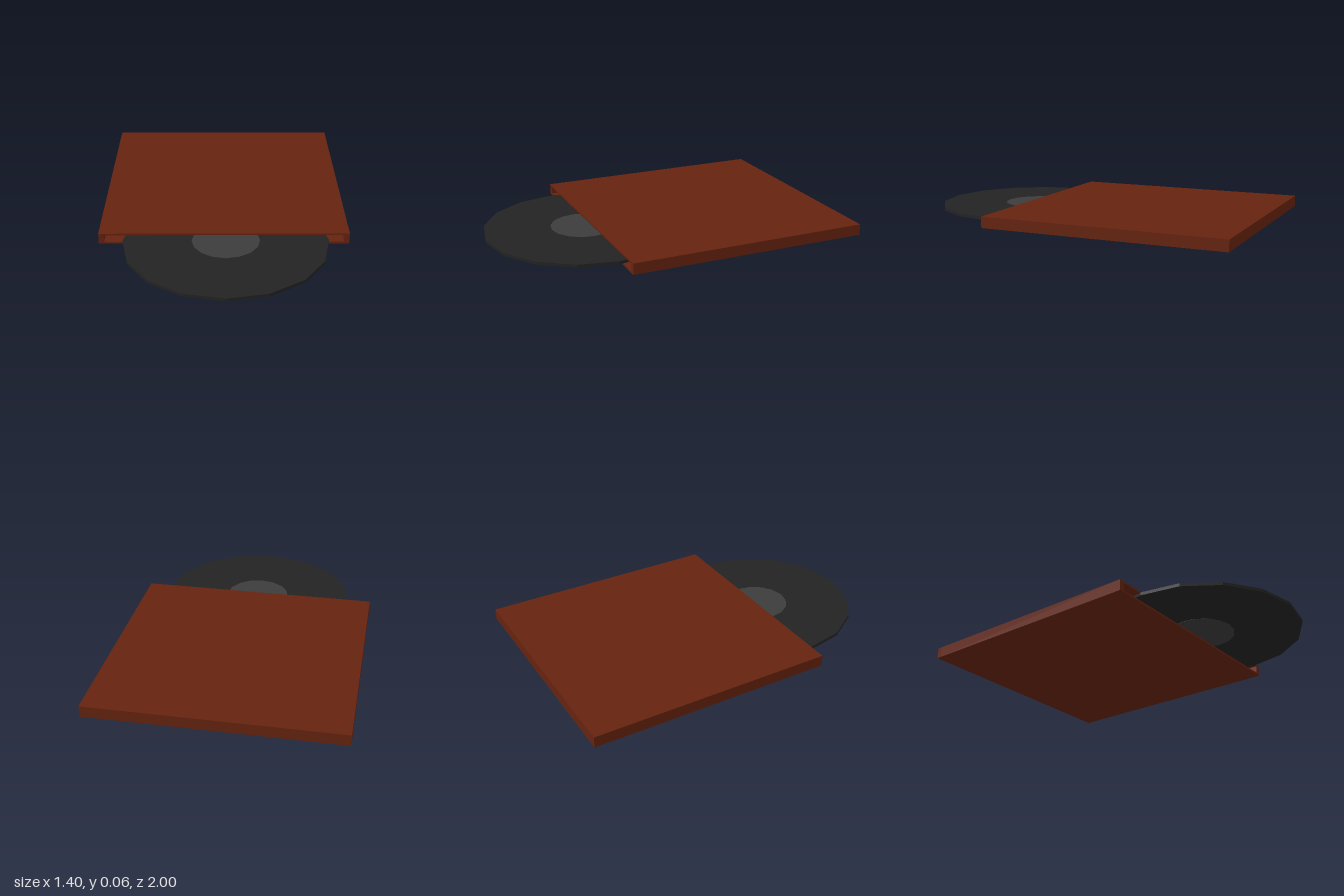
import * as THREE from 'three';

const material = (name, color) => {
  const m = new THREE.MeshStandardMaterial({ color });
  m.name = name;
  return m;
};

function rectangle(path, x, y0, y1) {
  path.moveTo(-x, y0);
  path.lineTo(x, y0);
  path.lineTo(x, y1);
  path.lineTo(-x, y1);
  path.closePath();
  return path;
}

export function createModel() {
  const brown = material('sleeve brown', 0x66230f);
  const black = material('disc black', 0x232323);
  const grey = material('label grey', 0x3c3c3c);
  const model = new THREE.Group();
  model.name = 'discInSleeve';

  const add = (parent, name, geometry, mat, x, y, z) => {
    const mesh = new THREE.Mesh(geometry, mat);
    mesh.name = name;
    mesh.position.set(x, y, z);
    parent.add(mesh);
  };

  // Hollow square sleeve, open at the front
  const sleeve = new THREE.Group();
  sleeve.name = 'sleeve';
  const section = rectangle(new THREE.Shape(), 0.7, 0, 0.064);
  section.holes.push(rectangle(new THREE.Path(), 0.67, 0.011, 0.054));
  const walls = new THREE.ExtrudeGeometry(section, { depth: 1.37, bevelEnabled: false });
  add(sleeve, 'sleeveWalls', walls, brown, 0, 0, -0.97);
  add(sleeve, 'sleeveBack', new THREE.BoxGeometry(1.4, 0.064, 0.03), brown, 0, 0.032, -0.985);

  // Sixteen-sided disc sliding out, with a label on both faces
  const disc = new THREE.Group();
  disc.name = 'disc';
  disc.position.set(0.01, 0.027, 0.427);
  const discGeometry = new THREE.CylinderGeometry(0.573, 0.573, 0.018, 16).toNonIndexed();
  discGeometry.computeVertexNormals();
  add(disc, 'discPlate', discGeometry, black, 0, 0, 0);
  for (const side of [1, -1]) {
    const label = new THREE.CylinderGeometry(0.19, 0.19, 0.002, 16);
    add(disc, side > 0 ? 'topLabel' : 'bottomLabel', label, grey, 0, side * 0.0095, 0);
  }

  model.add(sleeve, disc);
  return model;
}
